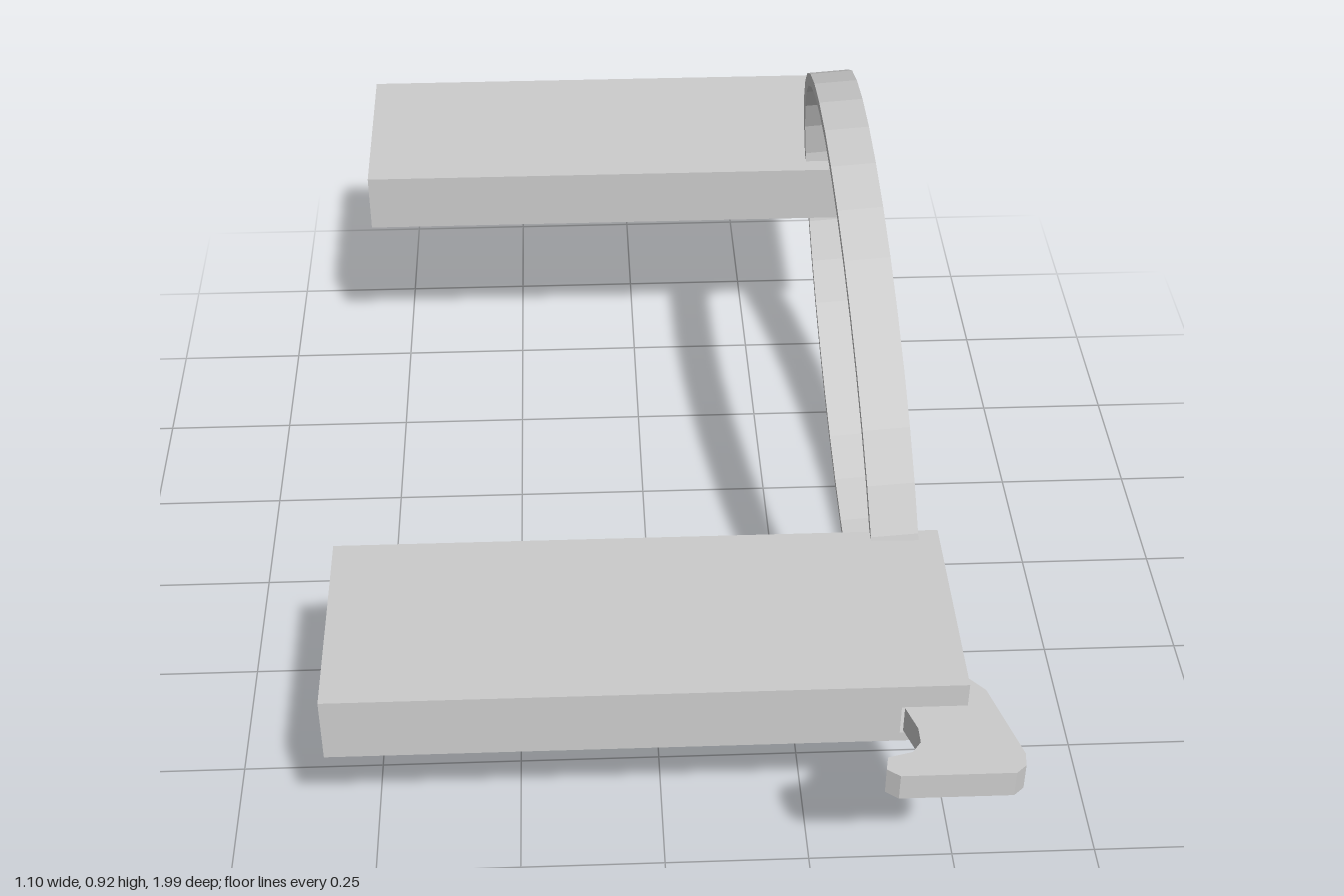
import * as THREE from 'three';

const material = new THREE.MeshStandardMaterial({ color: 0xcccccc, flatShading: true, side: THREE.DoubleSide });

function add(parent, name, geometry, x = 0, y = 0, z = 0) {
  const mesh = new THREE.Mesh(geometry, material);
  mesh.name = name;
  mesh.position.set(x, y, z);
  parent.add(mesh);
  return mesh;
}

function shapeOf(points) {
  return new THREE.Shape(points.map(([x, y]) => new THREE.Vector2(x, y)));
}

// Hollow sleeve, open at +x; its outer long wall is slotted at the open end.
function sleeve(name, outward, slotLow, slotHigh) {
  const L = 1.025, H = 0.12, D = 0.372, t = 0.01;
  const group = new THREE.Group();
  group.name = name;
  for (const s of [-1, 1]) {
    add(group, s > 0 ? 'topPlate' : 'bottomPlate', new THREE.BoxGeometry(L, t, D), 0, s * (H - t) / 2, 0);
  }
  add(group, 'closedEnd', new THREE.BoxGeometry(t, H - 2 * t, D), -(L - t) / 2, 0, 0);
  add(group, 'innerWall', new THREE.BoxGeometry(L, H - 2 * t, t), 0, 0, -outward * (D - t) / 2);

  const x = L / 2, h = H / 2 - t, s = x - 0.105;
  const wall = shapeOf([[-x, -h], [x, -h], [x, slotLow], [s, slotLow], [s, slotHigh], [x, slotHigh], [x, h], [-x, h]]);
  const geometry = new THREE.ExtrudeGeometry(wall, { depth: t, bevelEnabled: false });
  add(group, 'slottedWall', geometry, 0, 0, outward * (D - t) / 2 - t / 2);
  return group;
}

// Flat elliptical band, leaning slightly sideways.
function hoop() {
  const width = 0.08, tilt = 0.295, sides = 36;
  const ellipse = (a, b) => Array.from({ length: sides }, (_, i) => {
    const p = new THREE.Vector2(a * Math.cos(i * 2 * Math.PI / sides), b * Math.sin(i * 2 * Math.PI / sides));
    return p.rotateAround(new THREE.Vector2(), tilt);
  });
  const shape = new THREE.Shape(ellipse(0.618, 0.443));
  shape.holes.push(new THREE.Path(ellipse(0.593, 0.418)));
  const geometry = new THREE.ExtrudeGeometry(shape, { depth: width, bevelEnabled: false });
  geometry.translate(0, 0, -width / 2).rotateY(Math.PI / 2);
  return geometry;
}

export function createModel() {
  const model = new THREE.Group();
  model.name = 'hoopAndSleeves';

  const front = sleeve('frontSleeve', 1, -0.042, 0.015);
  front.position.set(-0.038, 0.45, 0.661);
  const back = sleeve('backSleeve', -1, -0.025, 0.025);
  back.position.set(-0.038, 0.485, -0.813);
  back.rotation.x = 0.026;
  model.add(front, back);

  const ring = add(model, 'hoop', hoop(), 0.402, 0.463, -0.08);
  ring.rotation.z = 0.076;

  // Hooked lever passing through the front slot to its pivot.
  const lever = shapeOf([
    [0.415, 0.535], [0.46, 0.535], [0.47, 0.765], [0.51, 0.81], [0.55, 0.95], [0.547, 0.975],
    [0.53, 0.99], [0.35, 0.99], [0.33, 0.975], [0.335, 0.95], [0.375, 0.94], [0.39, 0.92],
    [0.39, 0.89], [0.375, 0.845], [0.385, 0.8], [0.415, 0.765],
  ]);
  const leverGeometry = new THREE.ExtrudeGeometry(lever, { depth: 0.05, bevelEnabled: false });
  leverGeometry.rotateX(Math.PI / 2);
  add(model, 'lever', leverGeometry, 0, 0.461, 0);

  const pivot = new THREE.CylinderGeometry(0.035, 0.035, 0.07, 16);
  pivot.rotateZ(Math.PI / 2);
  add(model, 'leverPivot', pivot, 0.437, 0.438, 0.585);

  return model;
}
